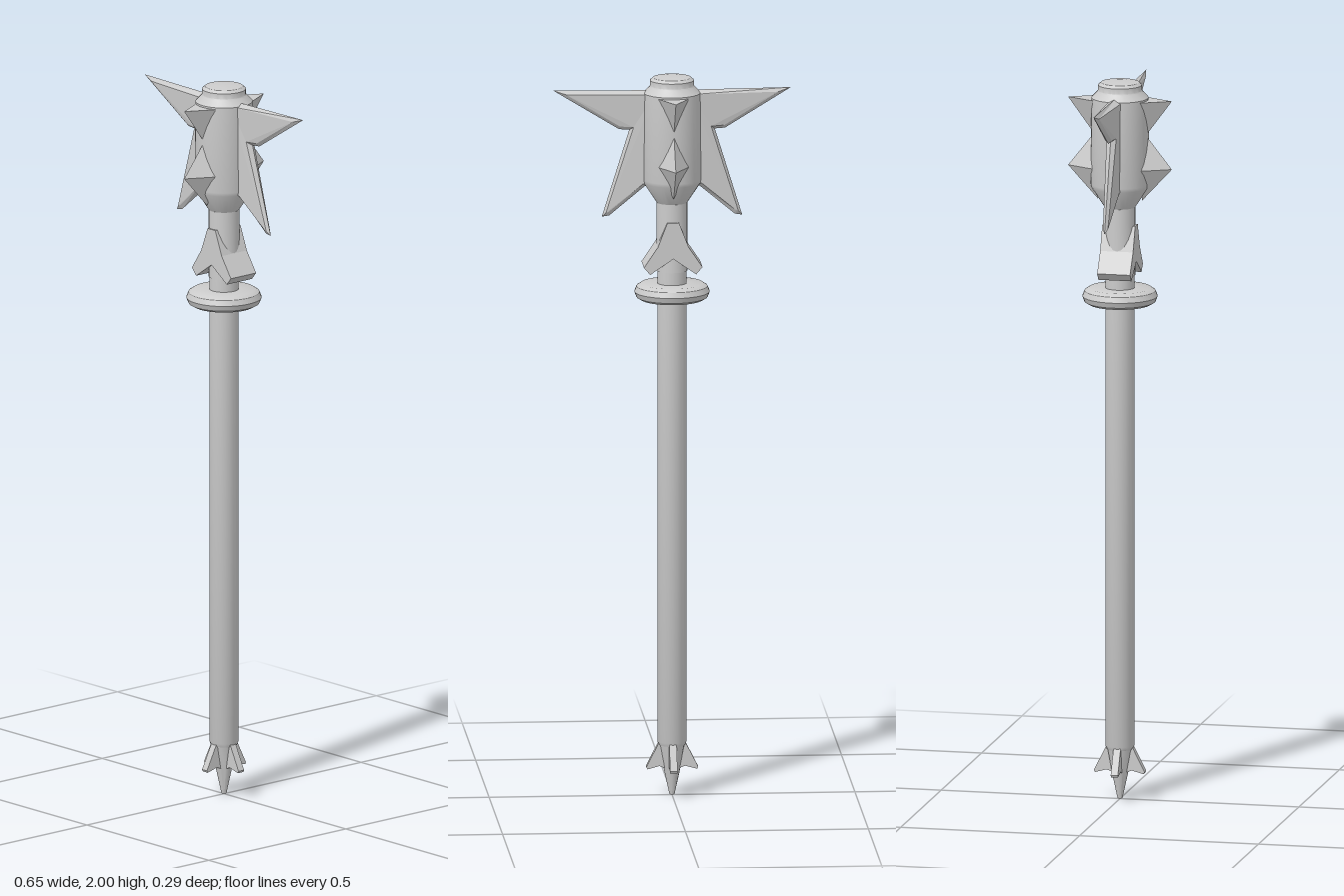
import * as THREE from 'three';
import { toCreasedNormals } from 'three/addons/utils/BufferGeometryUtils.js';
import { ConvexGeometry } from 'three/addons/geometries/ConvexGeometry.js';

const smooth = new THREE.MeshStandardMaterial({ color: 0xcccccc });
const flat = new THREE.MeshStandardMaterial({ color: 0xcccccc, flatShading: true });
const vec2 = (points) => points.map(([x, y]) => new THREE.Vector2(x, y));

function named(name, geometry, material) {
  const mesh = new THREE.Mesh(geometry, material);
  mesh.name = name;
  return mesh;
}

// Turned part from [radius, height] pairs, bottom to top
function turned(name, profile, sides) {
  const lathe = new THREE.LatheGeometry(vec2(profile), sides);
  return named(name, toCreasedNormals(lathe, 0.6), smooth);
}

// Plate of constant thickness, centred on z = 0
function plate(name, outline, thickness) {
  const geometry = new THREE.ExtrudeGeometry(new THREE.Shape(vec2(outline)), {
    depth: thickness, bevelEnabled: false,
  });
  geometry.translate(0, 0, -thickness / 2);
  return named(name, geometry, flat);
}

// Sharp-edged blade: outline at z = 0, inset faces swelling toward the root
function bladeGeometry(outer, inner) {
  const n = outer.length;
  const half = (x) => THREE.MathUtils.mapLinear(Math.min(x, 0.16), 0.05, 0.16, 0.02, 0.007);
  const positions = [], index = [];
  outer.forEach(([x, y]) => positions.push(x, y, 0));
  for (const side of [1, -1]) inner.forEach(([x, y]) => positions.push(x, y, side * half(x)));
  for (let i = 0; i < n; i++) {
    const j = (i + 1) % n;
    index.push(i, j, n + j, i, n + j, n + i);
    index.push(j, i, 2 * n + i, j, 2 * n + i, 2 * n + j);
  }
  for (const [a, b, c] of THREE.ShapeUtils.triangulateShape(vec2(inner), [])) {
    index.push(n + a, n + b, n + c, 2 * n + a, 2 * n + c, 2 * n + b);
  }
  const geometry = new THREE.BufferGeometry();
  geometry.setAttribute('position', new THREE.Float32BufferAttribute(positions, 3));
  geometry.setIndex(index);
  const result = geometry.toNonIndexed();
  result.computeVertexNormals();
  return result;
}

function spikeGeometry(points) {
  return new ConvexGeometry(points.map((p) => new THREE.Vector3(...p)));
}

export function createModel() {
  const model = new THREE.Group();
  model.name = 'mace';

  // Shaft, guard ring and neck
  model.add(turned('shaft', [[0, 0.14], [0.036, 0.14], [0.04, 0.15], [0.04, 1.47], [0, 1.47]], 20));
  model.add(turned('guardRing', [
    [0.035, 1.38], [0.085, 1.38], [0.097, 1.387], [0.103, 1.402],
    [0.097, 1.417], [0.085, 1.425], [0.035, 1.425],
  ], 40));
  model.add(turned('neck', [[0, 1.46], [0.042, 1.46], [0.042, 1.66], [0, 1.66]], 24));

  // Head with tapered base and stepped cap
  model.add(turned('head', [
    [0, 1.65], [0.042, 1.65], [0.078, 1.705], [0.08, 1.715], [0.078, 1.955],
    [0.062, 1.972], [0.06, 1.975], [0.06, 1.99], [0.052, 1.997], [0.025, 2], [0, 2],
  ], 32));

  // Flared collar straddling the neck
  model.add(plate('flaredCollar', [
    [0, 1.5], [0.063, 1.457], [0.08, 1.477], [0.042, 1.533], [0.016, 1.6],
    [-0.016, 1.6], [-0.042, 1.533], [-0.08, 1.477], [-0.063, 1.457],
  ], 0.092));

  // Twin-pointed side blades
  const blade = bladeGeometry(
    [[0.05, 1.697], [0.075, 1.695], [0.172, 1.615], [0.192, 1.612],
      [0.117, 1.853], [0.145, 1.855], [0.325, 1.965], [0.05, 1.962]],
    [[0.05, 1.708], [0.08, 1.705], [0.174, 1.626], [0.181, 1.624],
      [0.106, 1.862], [0.143, 1.864], [0.29, 1.954], [0.05, 1.952]],
  );

  // Front and back spikes: half pyramid above, diamond pyramid below
  const upperSpike = spikeGeometry([
    [-0.045, 1.95, 0.06], [0.045, 1.95, 0.06], [0, 1.848, 0.07], [0, 1.95, 0.145],
  ]);
  const lowerSpike = spikeGeometry([
    [-0.045, 1.76, 0.06], [0.045, 1.76, 0.06], [0, 1.855, 0.07], [0, 1.67, 0.062], [0, 1.76, 0.145],
  ]);
  for (let i = 0; i < 2; i++) {
    const side = new THREE.Group();
    side.name = i ? 'backAndRightSide' : 'frontAndLeftSide';
    side.add(named('blade', blade, flat));
    side.add(named('upperSpike', upperSpike, flat));
    side.add(named('lowerSpike', lowerSpike, flat));
    side.rotation.y = i * Math.PI;
    model.add(side);
  }

  // Pommel point with four fins
  model.add(turned('pommelPoint', [[0, 0], [0.007, 0.002], [0.022, 0.07], [0.036, 0.145]], 12));
  for (let i = 0; i < 4; i++) {
    const fin = plate('pommelFin', [
      [0.005, 0.07], [0.035, 0.082], [0.068, 0.073], [0.071, 0.079], [0.037, 0.146], [0.005, 0.146],
    ], 0.02);
    fin.rotation.y = (i * Math.PI) / 2;
    model.add(fin);
  }
  return model;
}
